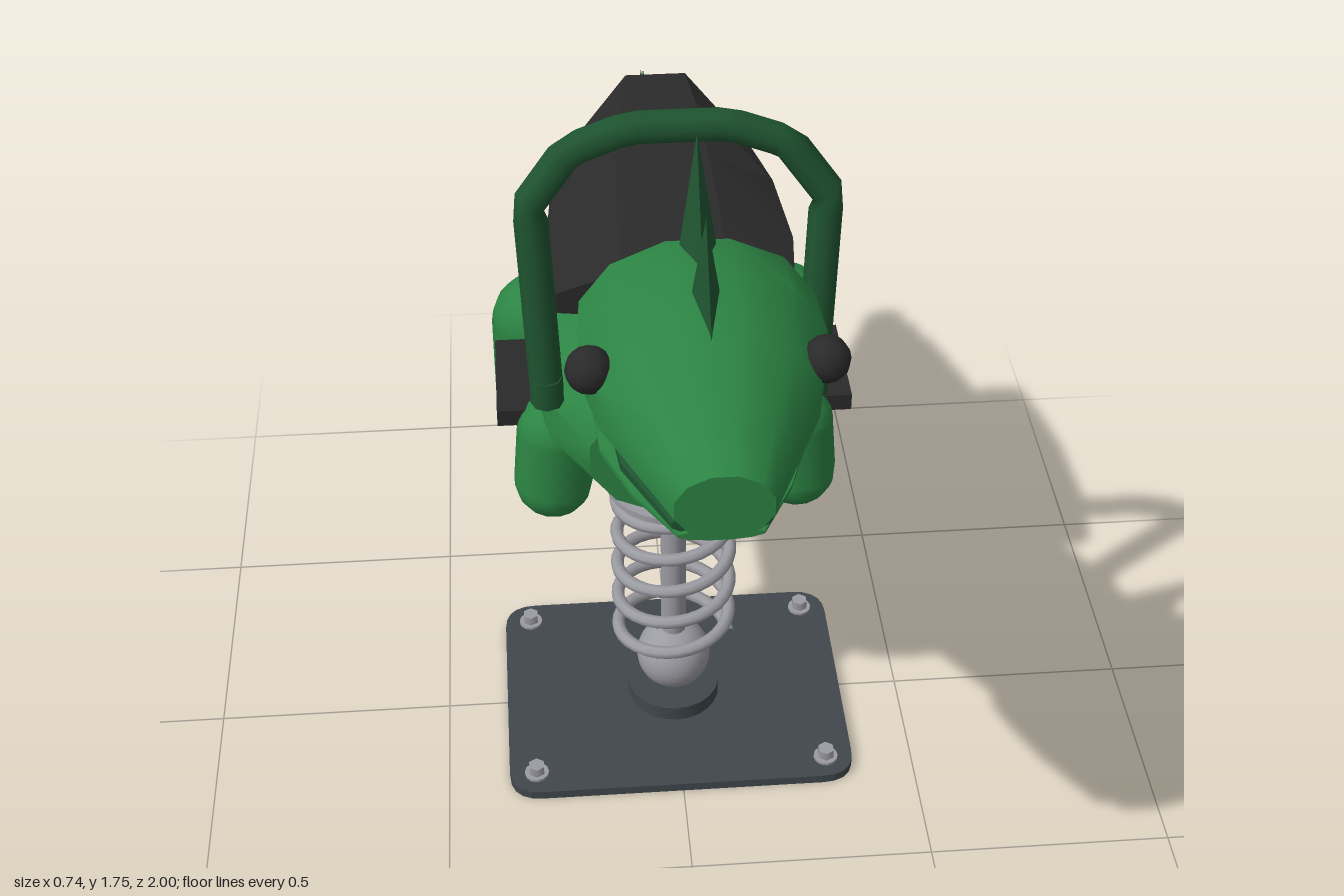
import * as THREE from 'three';
import { toCreasedNormals } from 'three/addons/utils/BufferGeometryUtils.js';

const mat = (name, color) => {
  const m = new THREE.MeshStandardMaterial({ color });
  m.name = name;
  return m;
};

// Closed loft, rings ordered front to back: [z, y, halfWidth, up, down, tilt]
function loft(rings, sides = 12, crease = 0.6) {
  const pos = [], idx = [], n = rings.length;
  for (const [z, y, w, up, down, tilt = 0] of rings) {
    for (let j = 0; j < sides; j++) {
      const a = ((j + 0.5) / sides) * Math.PI * 2;
      const s = Math.sin(a) * (Math.sin(a) > 0 ? up : down);
      pos.push(Math.cos(a) * w, y + s * Math.cos(tilt), z - s * Math.sin(tilt));
    }
  }
  for (let i = 0; i < n - 1; i++) {
    for (let j = 0; j < sides; j++) {
      const k = (j + 1) % sides;
      const a = i * sides + j, b = i * sides + k, c = b + sides, d = a + sides;
      idx.push(a, d, c, a, c, b);
    }
  }
  for (let j = 1; j < sides - 1; j++) {
    const e = (n - 1) * sides;
    idx.push(0, j, j + 1, e, e + j + 1, e + j);
  }
  const g = new THREE.BufferGeometry();
  g.setAttribute('position', new THREE.Float32BufferAttribute(pos, 3));
  g.setIndex(idx);
  return toCreasedNormals(g, crease);
}

// Thin four-sided spike from base ends (z, y) and an apex
function spikeGeometry([z0, y0], [z1, y1], [za, ya], w) {
  const f = [0, y0, z0], b = [0, y1, z1], t = [0, ya, za];
  const l = [w, (y0 + y1) / 2, (z0 + z1) / 2], r = [-w, l[1], l[2]];
  const g = new THREE.BufferGeometry();
  g.setAttribute('position', new THREE.Float32BufferAttribute(
    [f, l, t, l, b, t, b, r, t, r, f, t, f, r, l, l, r, b].flat(), 3));
  g.computeVertexNormals();
  return g;
}

export function createModel() {
  const group = new THREE.Group();
  const green = mat('green', 0x2c8443);
  const darkGreen = mat('dark green', 0x1f5430);
  const black = mat('black rubber', 0x2a2a2b);
  const steel = mat('steel', 0x9b9ba2);
  const slate = mat('slate metal', 0x40474c);
  const add = (name, geo, m, x = 0, y = 0, z = 0) => {
    const mesh = new THREE.Mesh(geo, m);
    mesh.name = name;
    mesh.position.set(x, y, z);
    group.add(mesh);
    return mesh;
  };

  // Base plate with rounded corners
  const w = 0.37, d = 0.29, c = 0.07;
  const plate = new THREE.Shape();
  plate.moveTo(-w + c, -d);
  plate.lineTo(w - c, -d); plate.quadraticCurveTo(w, -d, w, -d + c);
  plate.lineTo(w, d - c); plate.quadraticCurveTo(w, d, w - c, d);
  plate.lineTo(-w + c, d); plate.quadraticCurveTo(-w, d, -w, d - c);
  plate.lineTo(-w, -d + c); plate.quadraticCurveTo(-w, -d, -w + c, -d);
  const plateGeo = new THREE.ExtrudeGeometry(plate, { depth: 0.02, bevelEnabled: false, curveSegments: 5 });
  add('basePlate', plateGeo.rotateX(-Math.PI / 2), slate);
  for (const x of [-0.312, 0.312]) for (const z of [-0.235, 0.235]) {
    add('boltWasher', new THREE.CylinderGeometry(0.026, 0.026, 0.006, 12), steel, x, 0.023, z);
    add('bolt', new THREE.CylinderGeometry(0.018, 0.018, 0.022, 6), steel, x, 0.036, z);
  }

  // Spring mount
  add('baseCollar', new THREE.CylinderGeometry(0.1, 0.1, 0.035, 24), slate, 0, 0.037, 0);
  add('ballJoint', new THREE.SphereGeometry(0.08, 24, 16), steel, 0, 0.133, 0);
  add('post', new THREE.CylinderGeometry(0.027, 0.027, 0.5, 12), steel, 0, 0.42, 0);
  add('springCap', new THREE.CylinderGeometry(0.14, 0.14, 0.014, 24), steel, 0, 0.628, 0);
  add('topCollar', new THREE.CylinderGeometry(0.072, 0.072, 0.1, 20), steel, 0, 0.68, 0);
  const coil = [];
  for (let i = 0; i <= 100; i++) {
    const a = (i / 100) * Math.PI * 10;
    coil.push(new THREE.Vector3(Math.cos(a) * 0.12, 0.18 + 0.44 * (i / 100), -Math.sin(a) * 0.12));
  }
  add('spring', new THREE.TubeGeometry(new THREE.CatmullRomCurve3(coil), 160, 0.014, 8), steel);

  // Body, tail and neck
  add('body', loft([
    [0.25, 0.89, 0.185, 0.14, 0.14], [0.1, 0.89, 0.27, 0.18, 0.175],
    [0, 0.89, 0.295, 0.2, 0.195], [-0.25, 0.89, 0.295, 0.205, 0.205],
    [-0.48, 0.89, 0.24, 0.2, 0.2], [-0.6, 0.9, 0.17, 0.15, 0.165],
  ]), green);
  add('tail', loft([
    [-0.5, 0.925, 0.235, 0.17, 0.165], [-0.65, 0.925, 0.17, 0.158, 0.14],
    [-0.8, 0.935, 0.11, 0.125, 0.105], [-0.95, 0.945, 0.045, 0.07, 0.06],
    [-1, 0.945, 0.025, 0.042, 0.045],
  ]), green);
  add('neck', loft([
    [0.535, 1.305, 0.18, 0.18, 0.18, 0.5], [0.18, 1.08, 0.185, 0.2, 0.2, 0.5],
  ]), green);

  // Head, mouth and lower jaw
  add('head', loft([
    [1, 1.4, 0.08, 0.065, 0.06], [0.88, 1.4, 0.13, 0.11, 0.09],
    [0.75, 1.4, 0.185, 0.155, 0.12], [0.62, 1.4, 0.212, 0.175, 0.13],
    [0.5, 1.4, 0.205, 0.16, 0.13],
  ]), green);
  add('mouth', loft([
    [0.95, 1.33, 0.08, 0.02, 0.025], [0.75, 1.29, 0.15, 0.02, 0.04], [0.52, 1.27, 0.17, 0.02, 0.04],
  ]), darkGreen);
  add('lowerJaw', loft([
    [0.96, 1.315, 0.07, 0.008, 0.012], [0.8, 1.27, 0.135, 0.01, 0.02],
    [0.65, 1.24, 0.18, 0.012, 0.022], [0.5, 1.245, 0.19, 0.015, 0.02],
  ]), green);

  // Crest: base front, base back, apex, half width
  const spikes = [
    [[0.77, 1.54], [0.55, 1.55], [0.655, 1.7], 0.025],
    [[0.62, 1.54], [0.42, 1.5], [0.485, 1.75], 0.036],
    [[0.43, 1.41], [0.29, 1.35], [0.35, 1.51], 0.022],
    [[0.27, 1.33], [0.18, 1.27], [0.21, 1.37], 0.014],
    [[-0.51, 1.07], [-0.63, 1.07], [-0.59, 1.19], 0.022],
    [[-0.63, 1.06], [-0.74, 1.05], [-0.695, 1.17], 0.02],
    [[-0.74, 1.05], [-0.83, 1.03], [-0.795, 1.135], 0.016],
    [[-0.84, 1.03], [-0.92, 1], [-0.885, 1.095], 0.013],
    [[-0.93, 1], [-0.985, 0.975], [-0.965, 1.05], 0.01],
  ];
  for (const s of spikes) add('spike', spikeGeometry(...s), darkGreen);

  // Saddle: flared pad rising to the rear
  add('saddle', loft([
    [0.05, 1.11, 0.25, 0.085, 0.03], [-0.1, 1.11, 0.265, 0.1, 0.03],
    [-0.3, 1.11, 0.245, 0.125, 0.03], [-0.42, 1.11, 0.2, 0.185, 0.03],
    [-0.485, 1.11, 0.16, 0.215, 0.03],
  ], 8, 0.3), black);

  // Handle hoop
  const path = new THREE.CurvePath();
  const pts = [[-0.255, 1, 0.16], [-0.272, 1.4, 0.125], [-0.2, 1.5, 0.115], [-0.09, 1.54, 0.11],
    [0.09, 1.54, 0.11], [0.2, 1.5, 0.115], [0.272, 1.4, 0.125], [0.255, 1, 0.16]]
    .map((p) => new THREE.Vector3(...p));
  for (let i = 1; i < pts.length; i++) path.add(new THREE.LineCurve3(pts[i - 1], pts[i]));
  add('handle', new THREE.TubeGeometry(path, 40, 0.032, 8), darkGreen);
  for (const p of [pts[0], pts[7]]) {
    add('handleFoot', new THREE.CylinderGeometry(0.032, 0.032, 0.06, 8), darkGreen, p.x, p.y, p.z);
  }

  // Mirrored eyes, legs and footrests
  for (const s of [-1, 1]) {
    add('eye', new THREE.SphereGeometry(0.04, 12, 8), black, s * 0.19, 1.46, 0.715);
    const front = add('frontLeg', new THREE.CapsuleGeometry(0.08, 0.125, 6, 14), green, s * 0.243, 0.75, 0.05);
    front.rotation.z = s * 0.08;
    add('backLeg', new THREE.CapsuleGeometry(0.1, 0.19, 6, 14), green, s * 0.262, 0.715, -0.337);
    add('footrest', new THREE.BoxGeometry(0.13, 0.036, 0.24), black, s * 0.29, 0.845, -0.072);
  }
  return group;
}
